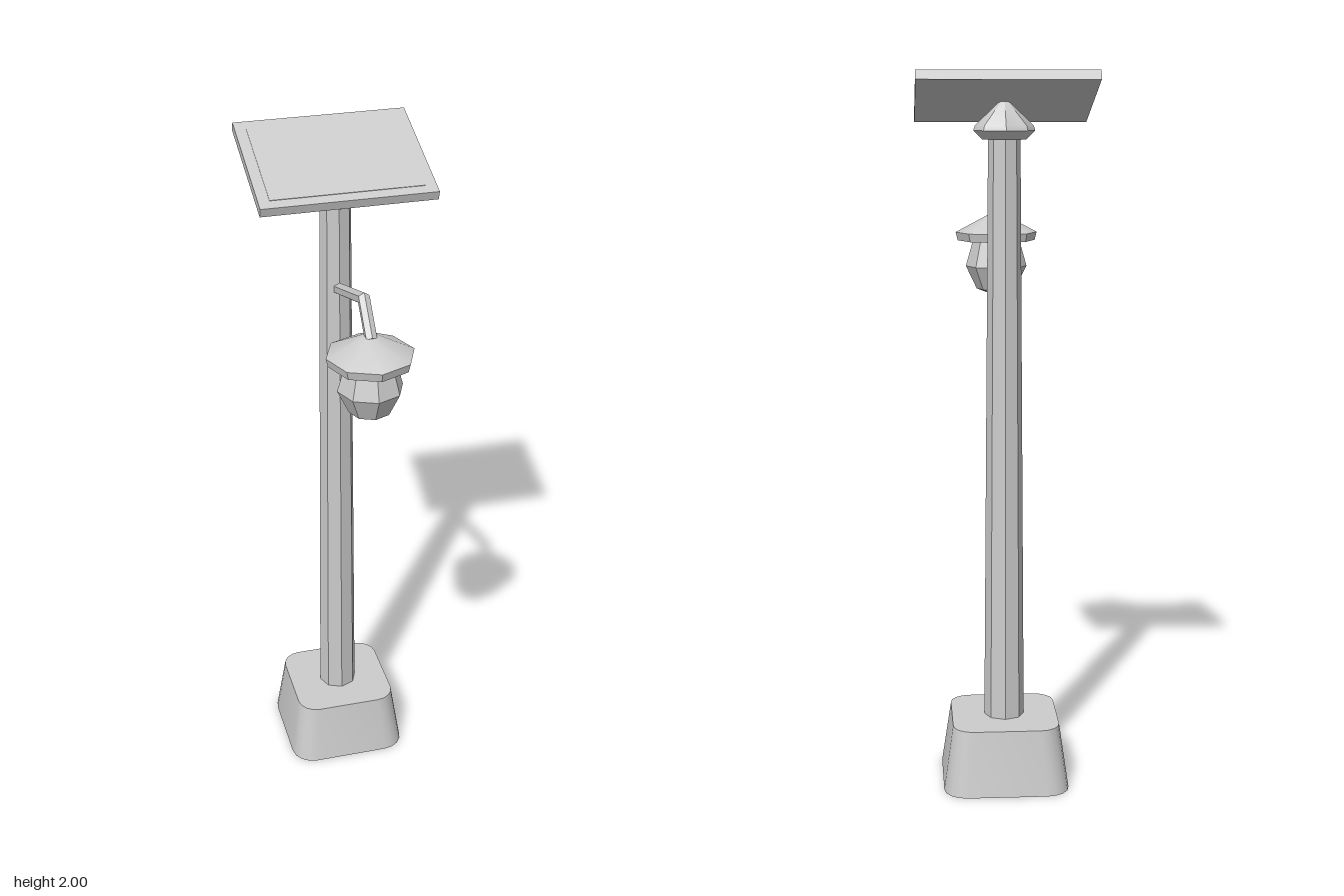
import * as THREE from 'three';
import { toCreasedNormals } from 'three/addons/utils/BufferGeometryUtils.js';

const grey = new THREE.MeshStandardMaterial({ color: 0xcccccc });
grey.name = 'light grey';

const POLE_Z = -0.155;
const LAMP_Z = 0.215;

function part(name, geometry, z = 0) {
  const mesh = new THREE.Mesh(toCreasedNormals(geometry, Math.PI / 6), grey);
  mesh.name = name;
  mesh.position.z = z;
  return mesh;
}

// Eight-sided turned shape from [radius, height] pairs, bottom to top
const turned = (profile) =>
  new THREE.LatheGeometry(profile.map(([r, y]) => new THREE.Vector2(r, y)), 8);

// Tapered block with rounded corners
function footingGeometry(half, radius, height, topScale) {
  const c = half - radius;
  const shape = new THREE.Shape();
  [[c, c], [-c, c], [-c, -c], [c, -c]].forEach(([x, y], i) =>
    shape.absarc(x, y, radius, i * Math.PI / 2, (i + 1) * Math.PI / 2));
  shape.closePath();
  const g = new THREE.ExtrudeGeometry(shape, { depth: height, bevelEnabled: false, curveSegments: 2 });
  g.rotateX(-Math.PI / 2);
  const p = g.attributes.position;
  for (let i = 0; i < p.count; i++) {
    const s = 1 + (topScale - 1) * p.getY(i) / height;
    p.setX(i, p.getX(i) * s);
    p.setZ(i, p.getZ(i) * s);
  }
  return g;
}

// Six-sided rod following [z, y] points, with mitred bends
function bentRodGeometry(path, radius) {
  const pts = path.map(([z, y]) => new THREE.Vector2(z, y));
  const n = pts.length - 1;
  const dirs = pts.slice(1).map((q, i) => q.clone().sub(pts[i]).normalize());
  const g = new THREE.CylinderGeometry(radius, radius, n, 6, n);
  const p = g.attributes.position;
  for (let i = 0; i < p.count; i++) {
    const k = Math.round(p.getY(i) + n / 2);
    const before = dirs[Math.max(k - 1, 0)];
    const t = before.clone().add(dirs[Math.min(k, n - 1)]).normalize();
    const w = p.getZ(i) / t.dot(before);
    p.setY(i, pts[k].y - t.x * w);
    p.setZ(i, pts[k].x + t.y * w);
  }
  return g;
}

export function createModel() {
  const model = new THREE.Group();
  model.name = 'solarStreetLamp';

  // Footing and pole
  model.add(part('footing', footingGeometry(0.177, 0.066, 0.185, 0.85), POLE_Z));
  model.add(part('pole', turned([[0, 0.17], [0.057, 0.17], [0.044, 1.83], [0, 1.83]]), POLE_Z));
  model.add(part('poleCap', turned([
    [0, 1.818], [0.06, 1.818], [0.084, 1.842], [0.08, 1.855], [0.012, 1.92], [0, 1.92],
  ]), POLE_Z));

  // Tilted solar panel
  const panel = new THREE.Group();
  panel.name = 'solarPanel';
  panel.add(part('panelFrame', new THREE.BoxGeometry(0.482, 0.026, 0.363)));
  const cells = part('panelCells', new THREE.BoxGeometry(0.42, 0.004, 0.302));
  cells.position.set(0, 0.0125, 0.001);
  panel.add(cells);
  panel.position.set(0, 1.931, -0.1615);
  panel.rotation.x = THREE.MathUtils.degToRad(17.8);
  model.add(panel);

  // Bracket arm and lamp
  model.add(part('arm', bentRodGeometry([[-0.14, 1.568], [0.146, 1.668], [0.222, 1.585]], 0.017)));
  model.add(part('lampShade', turned([
    [0, 1.518], [0.114, 1.518], [0.12, 1.542], [0.025, 1.592], [0, 1.595],
  ]), LAMP_Z));
  model.add(part('lampGlobe', turned([
    [0, 1.352], [0.058, 1.375], [0.09, 1.442], [0.068, 1.52], [0, 1.52],
  ]), LAMP_Z));

  return model;
}
